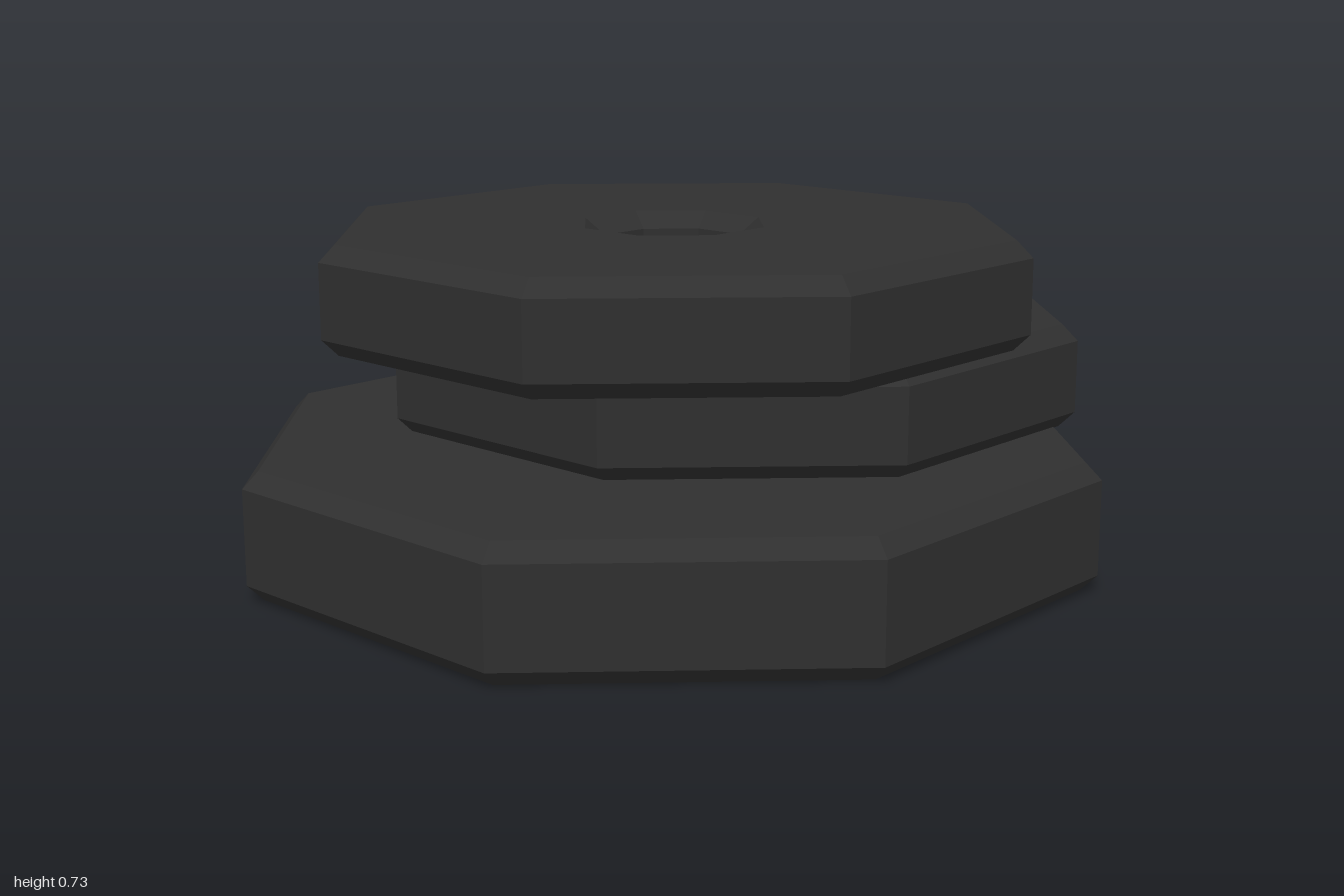
import * as THREE from 'three';

// Octagonal plate with chamfered rim and chamfered centre hole
function plateGeometry(radius, height, holeRadius, holeChamfer) {
  const c = 0.035;
  const profile = [
    [holeRadius + holeChamfer, 0],
    [radius - c, 0],
    [radius, c],
    [radius, height - c],
    [radius - c, height],
    [holeRadius + holeChamfer, height],
    [holeRadius, height - c],
    [holeRadius, c],
    [holeRadius + holeChamfer, 0],
  ].map(([r, y]) => new THREE.Vector2(r, y));
  // Split the faces so that every facet is flat
  const geometry = new THREE.LatheGeometry(profile, 8).toNonIndexed();
  geometry.computeVertexNormals();
  return geometry;
}

export function createModel() {
  const darkIron = new THREE.MeshStandardMaterial({ color: 0x2f2f2f });
  darkIron.name = 'darkIron';

  const plates = [
    { name: 'bottomPlate', radius: 0.95, height: 0.275, hole: 0.105, chamfer: 0.035, at: [-0.05, 0, 0.02] },
    { name: 'middlePlate', radius: 0.805, height: 0.23, hole: 0.105, chamfer: 0.035, at: [0.19, 0.272, -0.17] },
    { name: 'topPlate', radius: 0.78, height: 0.228, hole: 0.16, chamfer: 0.045, at: [-0.05, 0.502, 0.04] },
  ];

  const model = new THREE.Group();
  model.name = 'stackedWeightPlates';
  for (const p of plates) {
    const plate = new THREE.Mesh(plateGeometry(p.radius, p.height, p.hole, p.chamfer), darkIron);
    plate.name = p.name;
    plate.position.set(...p.at);
    model.add(plate);
  }
  return model;
}
